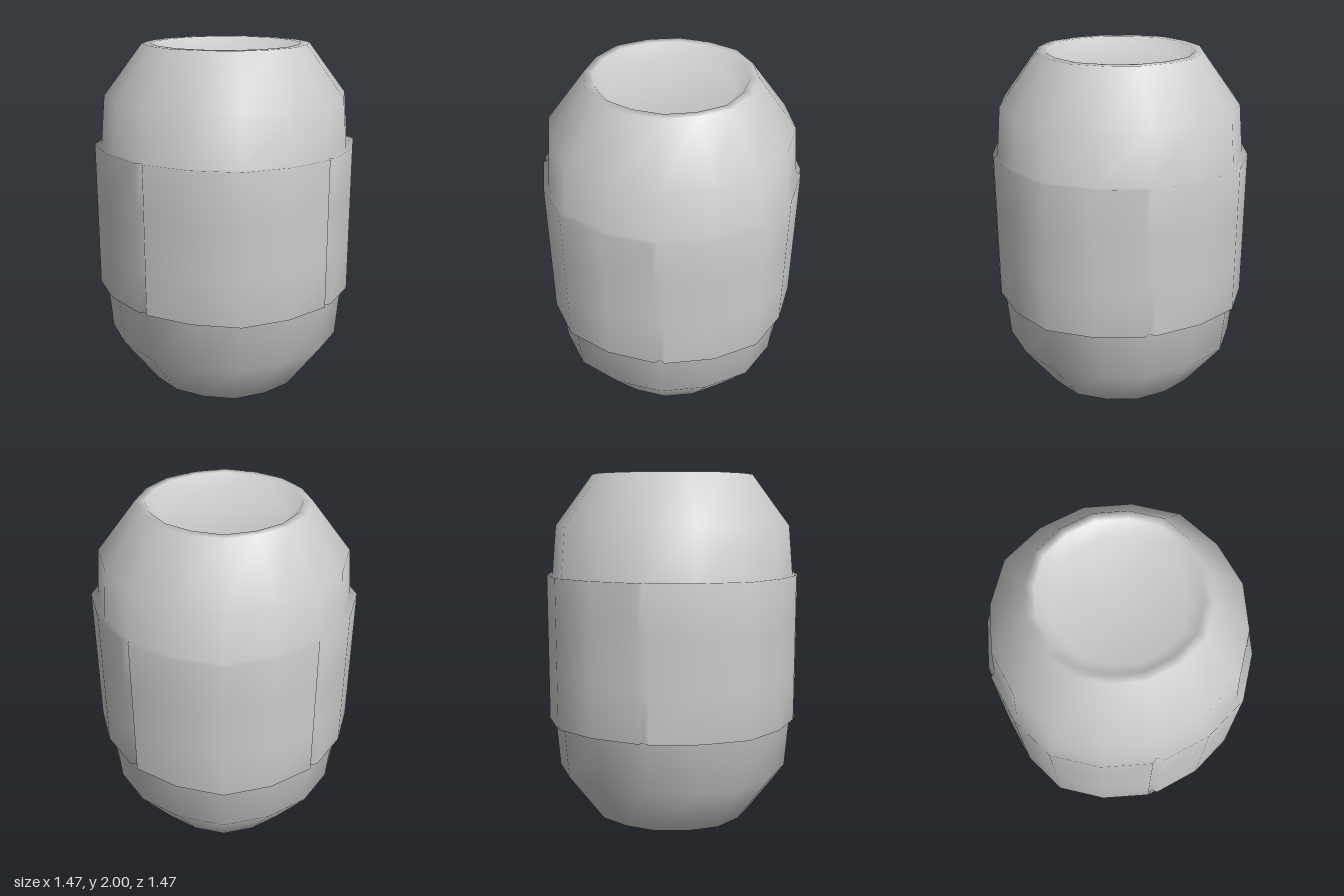
import * as THREE from 'three';
import { mergeVertices } from 'three/addons/utils/BufferGeometryUtils.js';

// One quadrant of columns: [body angle, body radius, band angle, band radius].
// The first column is the seam groove between two band panels.
const COLUMNS = [
  [0, 0.69, 0, 0.71],
  [0, 0.69, 2.3, 0.736],
  [22.5, 0.687, 24, 0.74],
  [45, 0.705, 45, 0.764],
  [67.5, 0.687, 66, 0.74],
  [90, 0.69, 87.7, 0.736],
];

// Rings from the bottom centre up: [y, body scale], or [y] for the raised band.
const RINGS = [
  [0, 0], [0, 0.57], [0, 0.68],             // flat base
  [0.29, 0.993], [0.58, 1.029],             // lower shoulder
  [0.58], [0.86], [1.14], [1.43],           // raised band panels
  [1.43, 1.029], [1.71, 0.993], [2, 0.68],  // upper shoulder
  [2, 0.61], [1.93, 0.51], [1.93, 0],       // rim and recessed top
];

function ringedShell() {
  const n = COLUMNS.length * 4;
  const positions = [];
  const index = [];
  RINGS.forEach(([y, scale], i) => {
    for (let j = 0; j < n; j++) {
      const [bodyAngle, bodyRadius, bandAngle, bandRadius] = COLUMNS[j % COLUMNS.length];
      const onBand = scale === undefined;
      const quarter = Math.floor(j / COLUMNS.length) * 90;
      const a = THREE.MathUtils.degToRad(quarter + (onBand ? bandAngle : bodyAngle));
      const r = onBand ? bandRadius : bodyRadius * scale;
      positions.push(r * Math.sin(a), y, r * Math.cos(a));
      if (i === 0) continue;
      const k = (j + 1) % n;
      const lo = (i - 1) * n, hi = i * n;
      index.push(lo + j, lo + k, hi + k, lo + j, hi + k, hi + j);
    }
  });
  const geometry = new THREE.BufferGeometry();
  geometry.setAttribute('position', new THREE.Float32BufferAttribute(positions, 3));
  geometry.setIndex(index);
  // Weld coincident points so the shading flows over the whole shell
  const welded = mergeVertices(geometry, 1e-3);
  welded.computeVertexNormals();
  return welded;
}

export function createModel() {
  const group = new THREE.Group();
  group.name = 'bandedBarrel';
  const shell = new THREE.Mesh(
    ringedShell(),
    new THREE.MeshStandardMaterial({ color: 0xcccccc })
  );
  shell.name = 'barrelShell';
  group.add(shell);
  return group;
}
